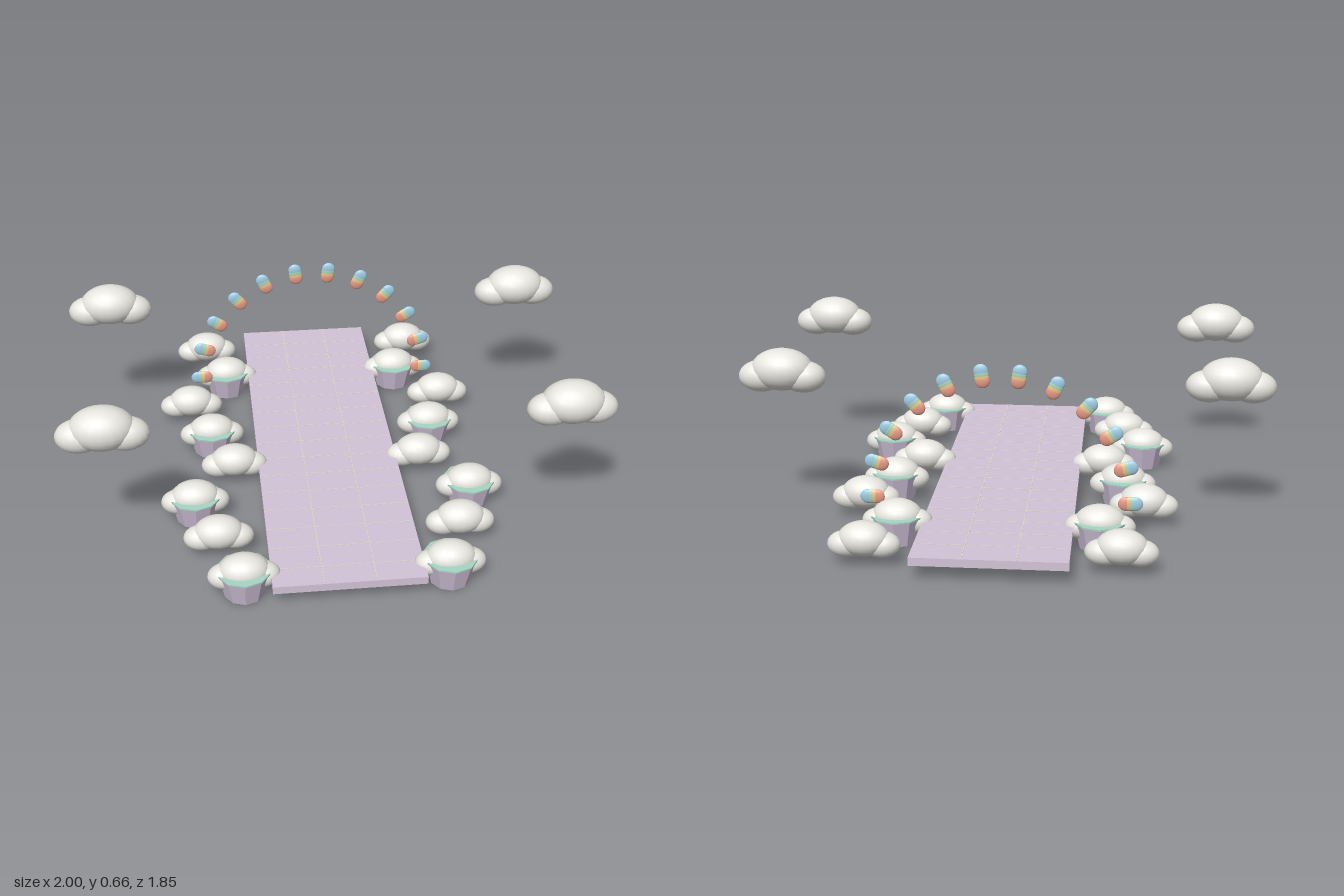
import * as THREE from 'three';

const mat = (name, color) => {
  const m = new THREE.MeshStandardMaterial({ color });
  m.name = name;
  return m;
};

export function createModel() {
  const root = new THREE.Group();
  root.name = 'cloudGardenWalkway';

  const lilac = mat('lilac', 0xd2c4d8);
  const seamCream = mat('seamCream', 0xdcd6c8);
  const cloudWhite = mat('cloudWhite', 0xe9e7e1);
  const mint = mat('mint', 0xa6d6c3);
  const coral = mat('coral', 0xeb9c88);
  const yellow = mat('yellow', 0xecca88);
  const blue = mat('blue', 0x9fcbe2);
  const planterLilac = mat('planterLilac', 0xcfc1d8);
  planterLilac.flatShading = true;

  const sphere = new THREE.SphereGeometry(1, 20, 14);
  const add = (parent, name, geo, material, x, y, z) => {
    const m = new THREE.Mesh(geo, material);
    m.name = name;
    m.position.set(x, y, z);
    parent.add(m);
    return m;
  };

  // Walkway slab with thin paving seams
  add(root, 'walkway', new THREE.BoxGeometry(0.55, 0.03, 1.843), lilac, 0, 0.071, -0.0035);
  const longSeam = new THREE.BoxGeometry(0.003, 0.002, 1.84);
  const crossSeam = new THREE.BoxGeometry(0.548, 0.002, 0.003);
  for (const x of [-0.094, 0.094]) add(root, 'longSeam', longSeam, seamCream, x, 0.0862, -0.0035);
  for (let i = 0; i < 15; i++) add(root, 'crossSeam', crossSeam, seamCream, 0, 0.0862, 0.82 - i * 0.1158);

  // Three-lobed puff, used for clouds and for the row along the path
  const puff = (name, x, y, z, s) => {
    const g = new THREE.Group();
    g.name = name;
    add(g, 'middleLobe', sphere, cloudWhite, 0, 0.027, 0).scale.set(0.118, 0.08, 0.086);
    for (const side of [-1, 1])
      add(g, 'sideLobe', sphere, cloudWhite, side * 0.08, 0, 0).scale.set(0.086, 0.06, 0.064);
    g.position.set(x, y, z);
    g.scale.setScalar(s);
    root.add(g);
  };

  // Ten-sided planters with a mint top
  const potGeo = new THREE.CylinderGeometry(0.098, 0.074, 0.098, 10);
  const rimGeo = new THREE.CylinderGeometry(0.1, 0.1, 0.006, 10);
  const rowX = [0.37, 0.45, 0.53];
  for (let i = 0; i < 8; i++) {
    const z = 0.825 - i * 0.2315;
    for (const side of [-1, 1]) {
      const x = side * rowX[i % 3];
      puff('pathPuff', x, 0.077, z, 0.785);
      if (i % 2 === 0) {
        add(root, 'planter', potGeo, planterLilac, x, 0.049, z);
        add(root, 'planterTop', rimGeo, mint, x, 0.1, z);
      }
      // Floating clouds beside two of the rows
      if (i === 1 || i === 5) puff('cloud', side * 0.834, 0.55, z, 1);
    }
  }

  // Rainbow arch of flat beads, coloured from the inside outwards
  const arch = new THREE.Group();
  arch.name = 'rainbowArch';
  arch.position.set(0, 0.131, -0.467);
  root.add(arch);
  const bands = [coral, yellow, mint, blue];
  for (let i = 0; i < 12; i++) {
    const bead = new THREE.Group();
    bead.name = 'rainbowBead';
    bead.rotation.z = (Math.PI * i) / 11;
    bands.forEach((m, k) =>
      add(bead, 'beadBand', sphere, m, 0.46 + k * 0.0125, 0, 0).scale.set(0.027, 0.027, 0.01));
    arch.add(bead);
  }

  return root;
}
